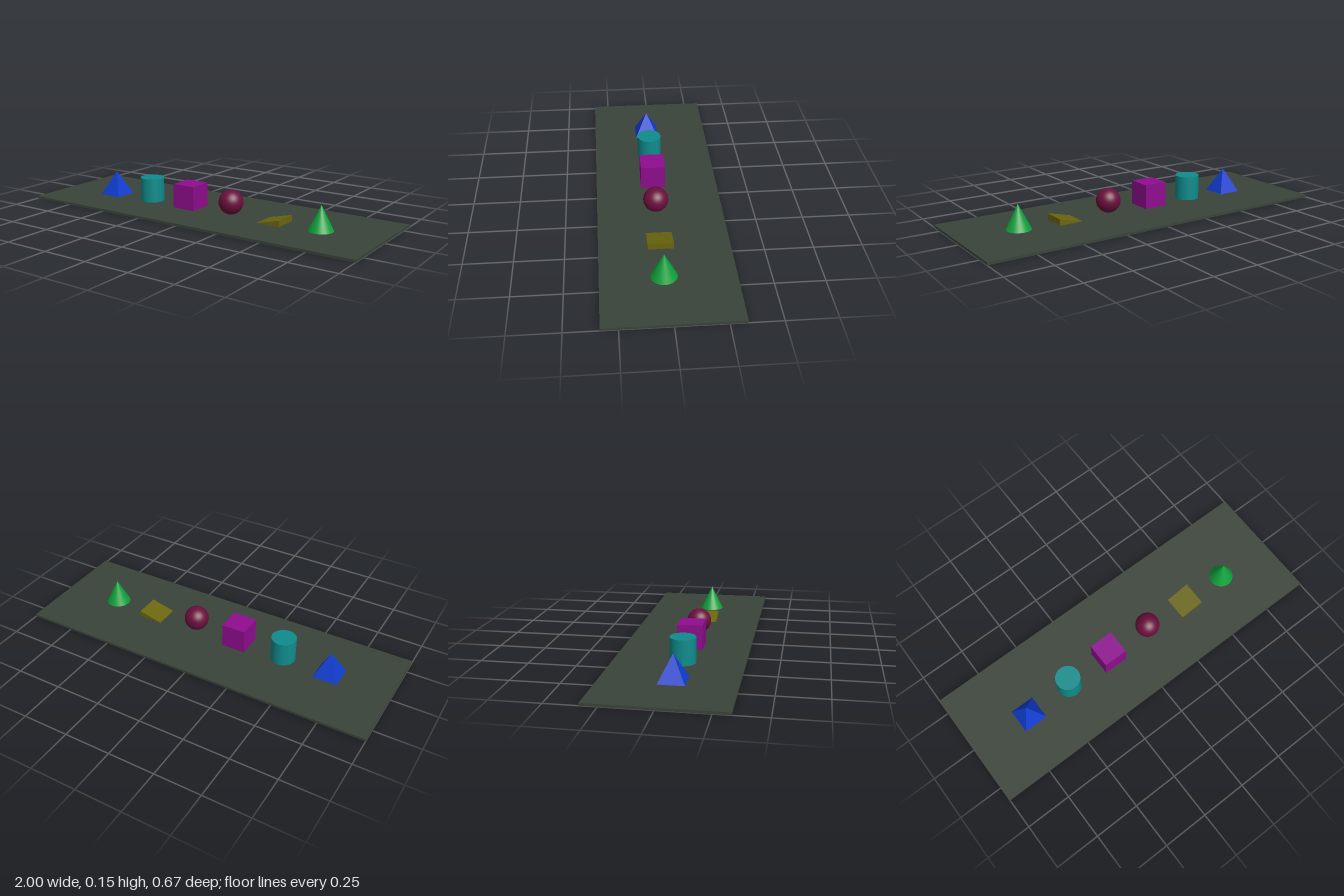
import * as THREE from 'three';

const SIZE = 0.133, HALF = SIZE / 2, BOARD = 0.0133;
const ROW_Z = 0.021, START_X = -0.661, STEP = 0.2666;

// Right-angled ramp rising towards +x, standing on y = 0
function wedgeGeometry(height) {
  const profile = new THREE.Shape([
    new THREE.Vector2(-HALF, 0),
    new THREE.Vector2(HALF, 0),
    new THREE.Vector2(HALF, height),
  ]);
  return new THREE.ExtrudeGeometry(profile, { depth: SIZE, bevelEnabled: false })
    .translate(0, 0, -HALF);
}

export function createModel() {
  const model = new THREE.Group();
  model.name = 'shapeBoard';

  const add = (name, geometry, color, x, y, z, flatShading = false) => {
    const mesh = new THREE.Mesh(geometry, new THREE.MeshStandardMaterial({ color, flatShading }));
    mesh.name = name;
    mesh.position.set(x, y, z);
    model.add(mesh);
  };

  // Thin base board
  add('board', new THREE.BoxGeometry(2, BOARD, 0.667), 0x3a443a, 0, BOARD / 2, 0);

  // Row of solids: name, geometry, colour, height of its origin above the board, flat shading
  const solids = [
    ['pyramid', new THREE.ConeGeometry(HALF * Math.SQRT2, SIZE, 4).rotateY(Math.PI / 4), 0x0f3ccf, HALF, true],
    ['cylinder', new THREE.CylinderGeometry(HALF, HALF, SIZE, 48), 0x0f8c8c, HALF],
    ['cube', new THREE.BoxGeometry(SIZE, SIZE, SIZE), 0x8f0d8f, HALF],
    ['sphere', new THREE.SphereGeometry(HALF, 48, 32), 0x6b0f3c, HALF],
    ['wedge', wedgeGeometry(0.0333), 0x6b660f, 0],
    ['cone', new THREE.ConeGeometry(HALF, SIZE, 48), 0x0fa03c, HALF],
  ];
  solids.forEach(([name, geometry, color, lift, flat], i) =>
    add(name, geometry, color, START_X + i * STEP, BOARD + lift, ROW_Z, flat));

  return model;
}
